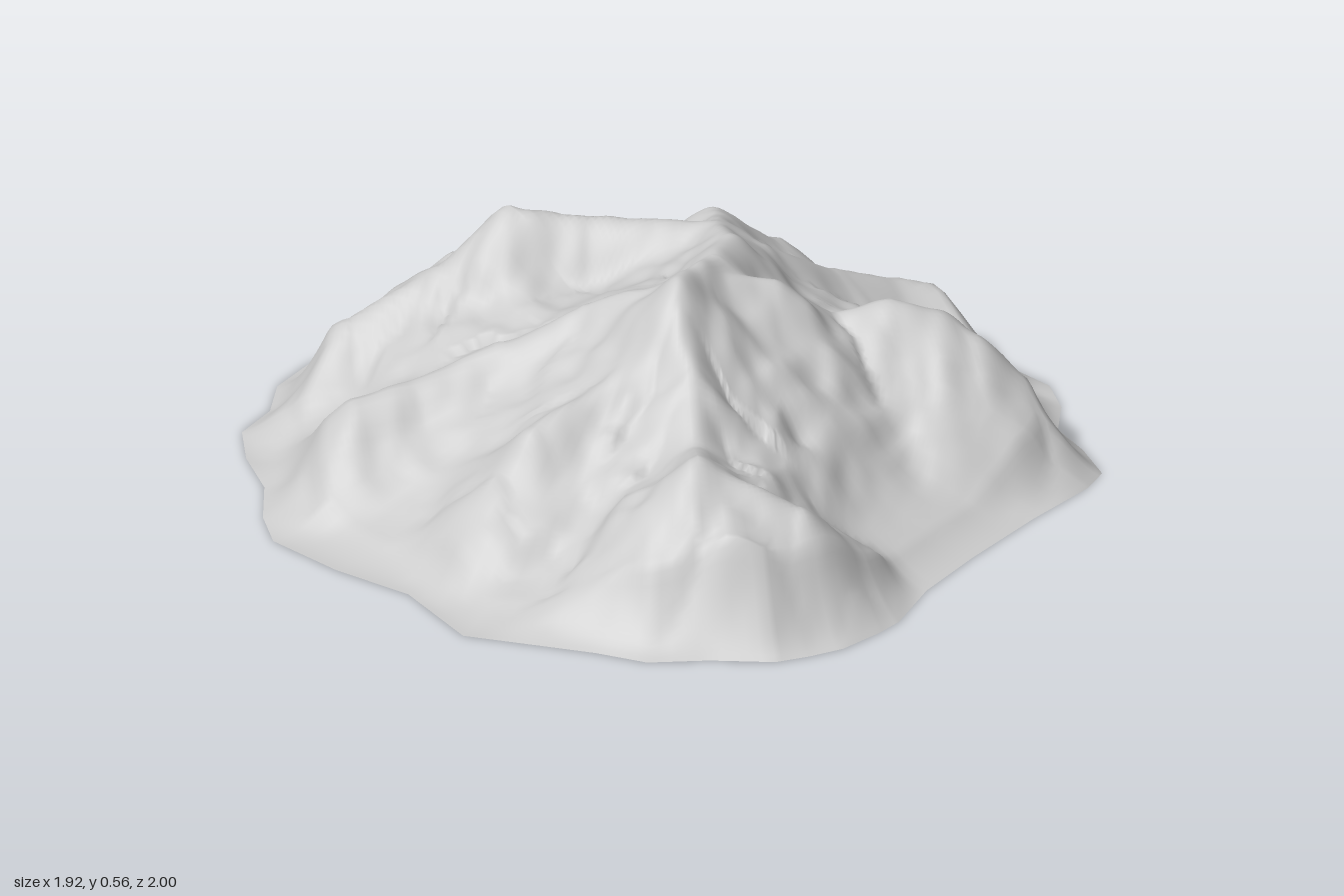
import * as THREE from 'three';

const { lerp, clamp, smoothstep } = THREE.MathUtils;

// Foot of the mountain, x/z pairs going round from the back
const OUTLINE = [
  -0.03, -1, 0.15, -0.99, 0.22, -0.95, 0.31, -0.87, 0.48, -0.76, 0.64, -0.65, 0.73, -0.55,
  0.82, -0.4, 0.89, -0.31, 0.905, -0.2, 0.885, -0.09, 0.93, 0.02, 0.96, 0.14, 0.92, 0.21,
  0.78, 0.35, 0.62, 0.53, 0.5, 0.68, 0.42, 0.83, 0.37, 0.88, 0.28, 0.95, 0.2, 0.98,
  0.12, 1, -0.03, 0.975, -0.17, 0.97, -0.28, 0.91, -0.4, 0.86, -0.57, 0.79, -0.67, 0.57,
  -0.82, 0.43, -0.945, 0.27, -0.955, 0.15, -0.935, 0, -0.96, -0.15, -0.955, -0.28,
  -0.88, -0.38, -0.85, -0.5, -0.77, -0.6, -0.61, -0.73, -0.55, -0.74, -0.4, -0.84, -0.23, -0.95,
];

// Crest lines as [x, height, z]
const mainCrest = [[-0.02, 0.31, 0.52], [-0.01, 0.42, 0.35], [-0.02, 0.56, 0.17], [0.08, 0.535, 0],
  [0.13, 0.515, -0.14], [0.13, 0.47, -0.3], [0.14, 0.42, -0.45], [0.15, 0.29, -0.62], [0.2, 0.1, -0.82]];
const frontHill = [[-0.02, 0.31, 0.52], [-0.02, 0.365, 0.67], [0.03, 0.28, 0.77], [0.04, 0.25, 0.84]];
const frontSpurs = [
  [[-0.02, 0.35, 0.67], [0.2, 0.26, 0.74], [0.3, 0.14, 0.83]],
  [[-0.02, 0.34, 0.67], [-0.15, 0.19, 0.78], [-0.38, 0.06, 0.8]],
];
const leftSide = [
  [[0.05, 0.53, 0.05], [0.22, 0.48, 0.03], [0.36, 0.355, -0.02], [0.5, 0.38, -0.02],
    [0.6, 0.36, 0], [0.68, 0.31, 0.02], [0.78, 0.19, 0.05], [0.87, 0.14, 0.12]],
  [[0.12, 0.5, -0.15], [0.22, 0.42, -0.25], [0.4, 0.29, -0.38], [0.55, 0.23, -0.43],
    [0.68, 0.2, -0.43], [0.82, 0.07, -0.38]],
  [[0.14, 0.43, -0.42], [0.27, 0.31, -0.52], [0.42, 0.14, -0.63]],
];
const rightSide = [
  [[-0.02, 0.49, 0.2], [-0.2, 0.36, 0.28], [-0.35, 0.31, 0.36], [-0.44, 0.22, 0.43], [-0.5, 0.1, 0.5]],
  [[-0.02, 0.53, 0.1], [-0.2, 0.42, 0], [-0.4, 0.33, -0.02], [-0.6, 0.26, 0.03],
    [-0.72, 0.235, 0.05], [-0.86, 0.12, 0.1]],
  [[0.12, 0.48, -0.28], [-0.15, 0.46, -0.36], [-0.32, 0.48, -0.4], [-0.5, 0.35, -0.38],
    [-0.7, 0.23, -0.36], [-0.85, 0.11, -0.3]],
  [[-0.32, 0.45, -0.4], [-0.38, 0.25, -0.56], [-0.42, 0.1, -0.68]],
];
const CRESTS = [mainCrest, frontHill, ...frontSpurs, ...leftSide, ...rightSide];

// Seeded smooth noise in the range -1 to 1
function hash(i, j) {
  const s = Math.sin(i * 127.1 + j * 311.7 + 4.2) * 43758.5453;
  return (s - Math.floor(s)) * 2 - 1;
}
function noise(x, z) {
  const i = Math.floor(x), j = Math.floor(z);
  const u = smoothstep(x - i, 0, 1), v = smoothstep(z - j, 0, 1);
  return lerp(lerp(hash(i, j), hash(i + 1, j), u), lerp(hash(i, j + 1), hash(i + 1, j + 1), u), v);
}

// Slope of one crest: its height at a point, and how far down its flank that is (0 to 1)
function slopeOf(crest, x, z, gully) {
  let best = { h: 0, fall: 1 };
  for (let k = 0; k < crest.length - 1; k++) {
    const [ax, ay, az] = crest[k], [bx, by, bz] = crest[k + 1];
    const dx = bx - ax, dz = bz - az;
    const t = clamp(((x - ax) * dx + (z - az) * dz) / (dx * dx + dz * dz), 0, 1);
    const y = ay + (by - ay) * t;
    const d = Math.hypot(x - ax - dx * t, z - az - dz * t, 0.03) - 0.03;
    const run = Math.min(1, d / (0.08 + 0.77 * y));
    const fall = run * (1 + gully * (1 - run));
    const h = y * Math.pow(1 - fall, 1.2);
    if (h > best.h) best = { h, fall };
  }
  return best;
}

// Height at a point: crest slopes over a broad base, with the valleys between them filled
function heightAt(px, pz, rho) {
  const x = px + 0.012 * noise(px * 8 + 3, pz * 8), z = pz + 0.012 * noise(px * 8, pz * 8 + 11);
  const gully = 0.2 * noise(px * 9, pz * 9) + 0.14 * noise(px * 20 + 7, pz * 20);
  let h = lerp(0.46, 0.3, smoothstep(pz, -0.1, 0.35)) * Math.pow(1 - rho, 1.1), fall = 1;
  for (const crest of CRESTS) {
    const slope = slopeOf(crest, x, z, gully);
    const k = 0.01 + 0.18 * Math.min(1, 2 * Math.min(fall, slope.fall));
    const overlap = Math.max(0, k - Math.abs(h - slope.h)) / k;
    if (slope.h > h) fall = slope.fall;
    h = Math.max(h, slope.h) + overlap * overlap * k * 0.25 * Math.min(1, slope.h * 6) * Math.min(1, 2.5 * (1 - rho));
  }
  h += 0.008 * noise(px * 17, pz * 17) * Math.min(1, h * 2);
  return Math.max(0, h) * Math.min(1, (1 - rho) / 0.14);
}

export function createModel() {
  // Spokes run from the centre to points along the outline
  const spokes = [], corners = OUTLINE.length / 2, split = 5, rings = 76;
  for (let i = 0; i < corners; i++) {
    const a = i * 2, b = ((i + 1) % corners) * 2;
    for (let s = 0; s < split; s++) {
      const t = s / split;
      spokes.push([lerp(OUTLINE[a], OUTLINE[b], t), lerp(OUTLINE[a + 1], OUTLINE[b + 1], t)]);
    }
  }

  const n = spokes.length, positions = [0, heightAt(0, 0, 0), 0], index = [];
  for (let r = 1; r <= rings; r++) {
    const rho = r / rings;
    for (const [sx, sz] of spokes) positions.push(sx * rho, heightAt(sx * rho, sz * rho, rho), sz * rho);
  }
  for (let i = 0; i < n; i++) {
    const j = (i + 1) % n;
    index.push(0, 1 + j, 1 + i);
    for (let r = 0; r < rings - 1; r++) {
      const a = 1 + r * n + i, b = 1 + r * n + j;
      index.push(a, b, b + n, a, b + n, a + n);
    }
  }

  // Open-bottomed terrain shell
  const geometry = new THREE.BufferGeometry();
  geometry.setAttribute('position', new THREE.Float32BufferAttribute(positions, 3));
  geometry.setIndex(index);
  geometry.computeVertexNormals();
  const mountain = new THREE.Mesh(geometry,
    new THREE.MeshStandardMaterial({ color: 0xcccccc, side: THREE.DoubleSide }));
  mountain.name = 'mountain';

  const group = new THREE.Group();
  group.name = 'mountainTerrain';
  group.add(mountain);
  return group;
}
